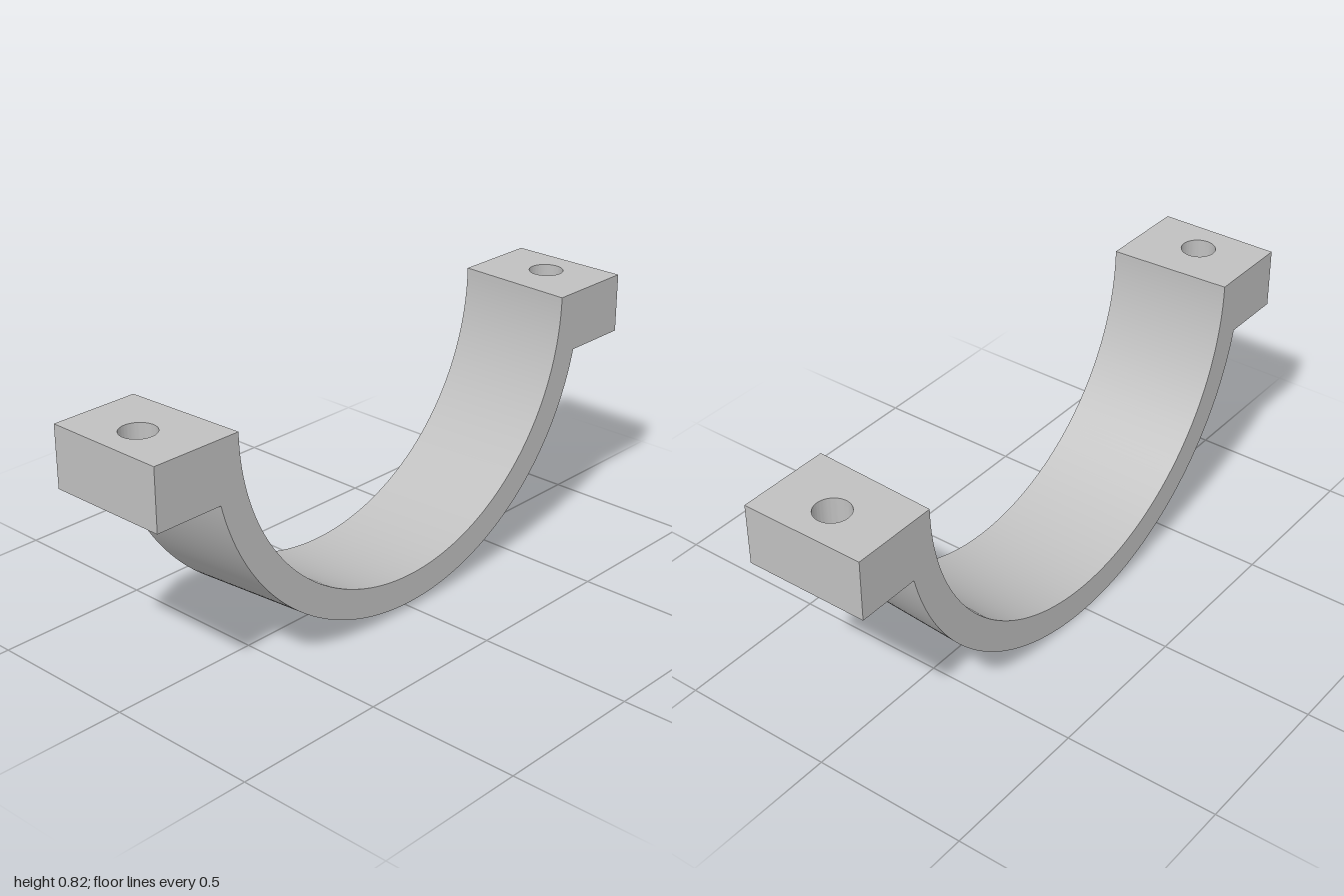
import * as THREE from 'three';
import { toCreasedNormals } from 'three/addons/utils/BufferGeometryUtils.js';

const WIDTH = 0.4;
const TOP = 0.818;        // height of the flat mating face
const OUTER = 0.818, INNER = 0.72; // radii at the wide end
const TAPER = 0.975;      // radius ratio of the narrow end
const LUG_HEIGHT = 0.193;

// Half ring swept along x, narrowing slightly towards +x
function saddleGeometry() {
  const shape = new THREE.Shape();
  shape.absarc(0, 0, OUTER, Math.PI, 2 * Math.PI, false);
  shape.absarc(0, 0, INNER, 2 * Math.PI, Math.PI, true);
  shape.closePath();
  const geo = new THREE.ExtrudeGeometry(shape, { depth: WIDTH, bevelEnabled: false, curveSegments: 72 });
  const p = geo.attributes.position;
  for (let i = 0; i < p.count; i++) {
    const s = 1 + (TAPER - 1) * p.getZ(i) / WIDTH;
    p.setXY(i, p.getX(i) * s, p.getY(i) * s);
  }
  geo.rotateY(Math.PI / 2).translate(-WIDTH / 2, TOP, 0);
  return toCreasedNormals(geo, 0.5);
}

// Bolt lug with a vertical through hole; its inner end is buried in the ring
function lugGeometry(side) {
  const w = WIDTH / 2;
  const a = Math.min(side * 0.75, side), b = Math.max(side * 0.75, side);
  const shape = new THREE.Shape();
  shape.moveTo(-w, a).lineTo(w, a).lineTo(w, b).lineTo(-w, b).closePath();
  const hole = new THREE.Path();
  hole.absarc(0, side * 0.878, 0.055, 0, 2 * Math.PI, true);
  shape.holes.push(hole);
  const geo = new THREE.ExtrudeGeometry(shape, { depth: LUG_HEIGHT, bevelEnabled: false, curveSegments: 32 });
  geo.rotateX(Math.PI / 2).translate(0, TOP, 0);
  return toCreasedNormals(geo, 0.5);
}

export function createModel() {
  const group = new THREE.Group();
  group.name = 'halfClamp';
  const grey = new THREE.MeshStandardMaterial({ color: 0xc0c0c0 });
  grey.name = 'lightGrey';

  const add = (name, geo) => {
    const mesh = new THREE.Mesh(geo, grey);
    mesh.name = name;
    group.add(mesh);
  };
  add('saddle', saddleGeometry());
  add('frontLug', lugGeometry(1));
  add('backLug', lugGeometry(-1));
  return group;
}
